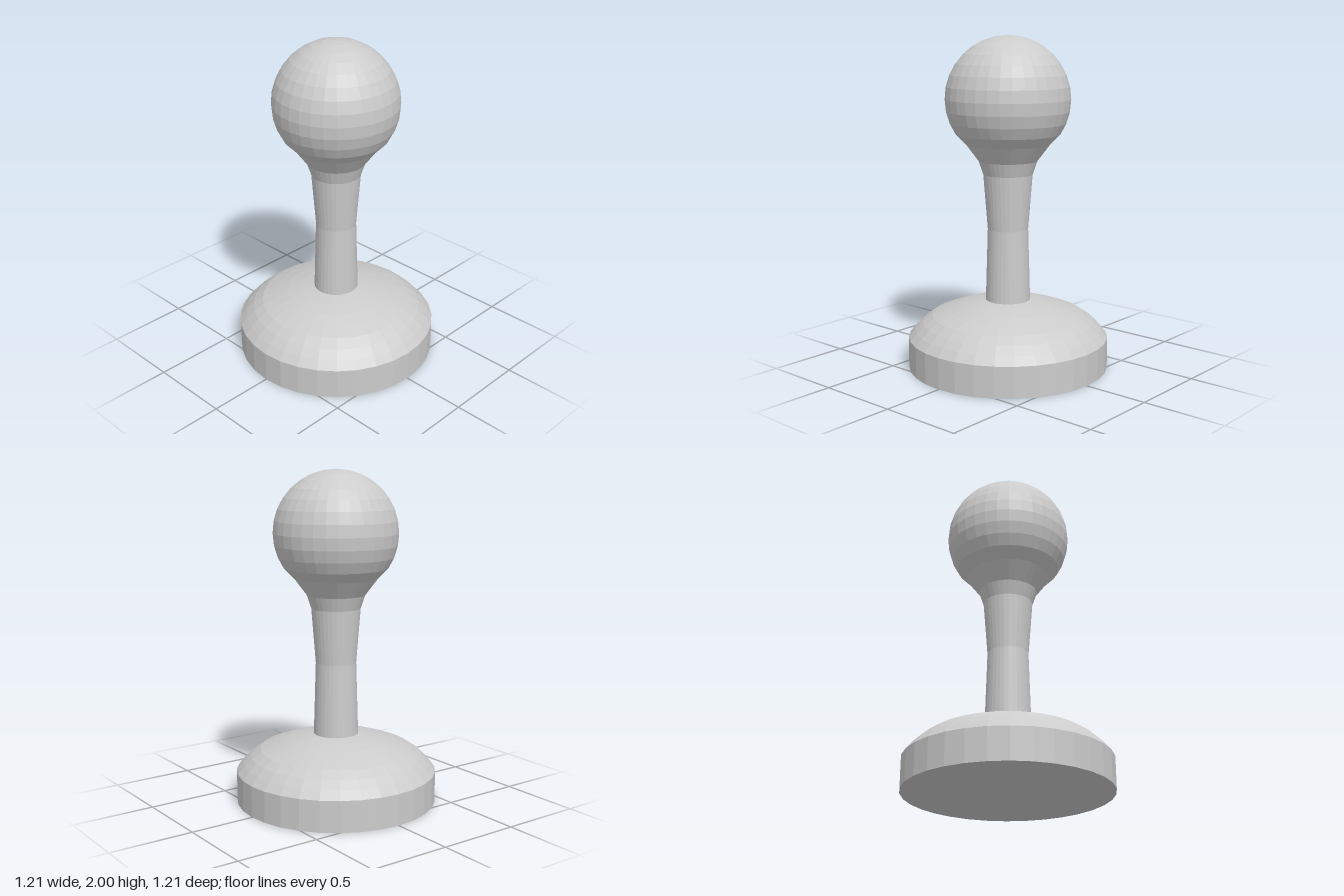
import * as THREE from 'three';

const SIDES = 32;
const material = new THREE.MeshStandardMaterial({ color: 0xcccccc, flatShading: true });

function addPart(group, name, geometry) {
  const mesh = new THREE.Mesh(geometry, material);
  mesh.name = name;
  group.add(mesh);
  return mesh;
}

// Turned part from [radius, height] pairs, listed bottom to top
const turned = (profile) =>
  new THREE.LatheGeometry(profile.map(([r, y]) => new THREE.Vector2(r, y)), SIDES);

export function createModel() {
  const group = new THREE.Group();
  group.name = 'pawn';

  // Disc foot with a flat underside and an upright rim
  addPart(group, 'base', turned([[0, 0], [0.607, 0], [0.607, 0.188]]));

  // Shallow dome rising from the rim to the stem
  addPart(group, 'baseDome', turned([
    [0.607, 0.188], [0.567, 0.235], [0.52, 0.28], [0.462, 0.32],
    [0.385, 0.35], [0.305, 0.377], [0.22, 0.398], [0.135, 0.413],
  ]));

  // Slender stem, narrowest at mid height, flaring out under the head
  addPart(group, 'stem', turned([
    [0.135, 0.413], [0.122, 0.85], [0.148, 1.18],
    [0.175, 1.26], [0.25, 1.36], [0.31, 1.42],
  ]));

  // Ball head, open below where it meets the flare
  const radius = 0.373;
  const head = addPart(group, 'head',
    new THREE.SphereGeometry(radius, SIDES, 11, 0, Math.PI * 2, 0, Math.PI * 11 / 16));
  head.position.y = 2 - radius;

  return group;
}
